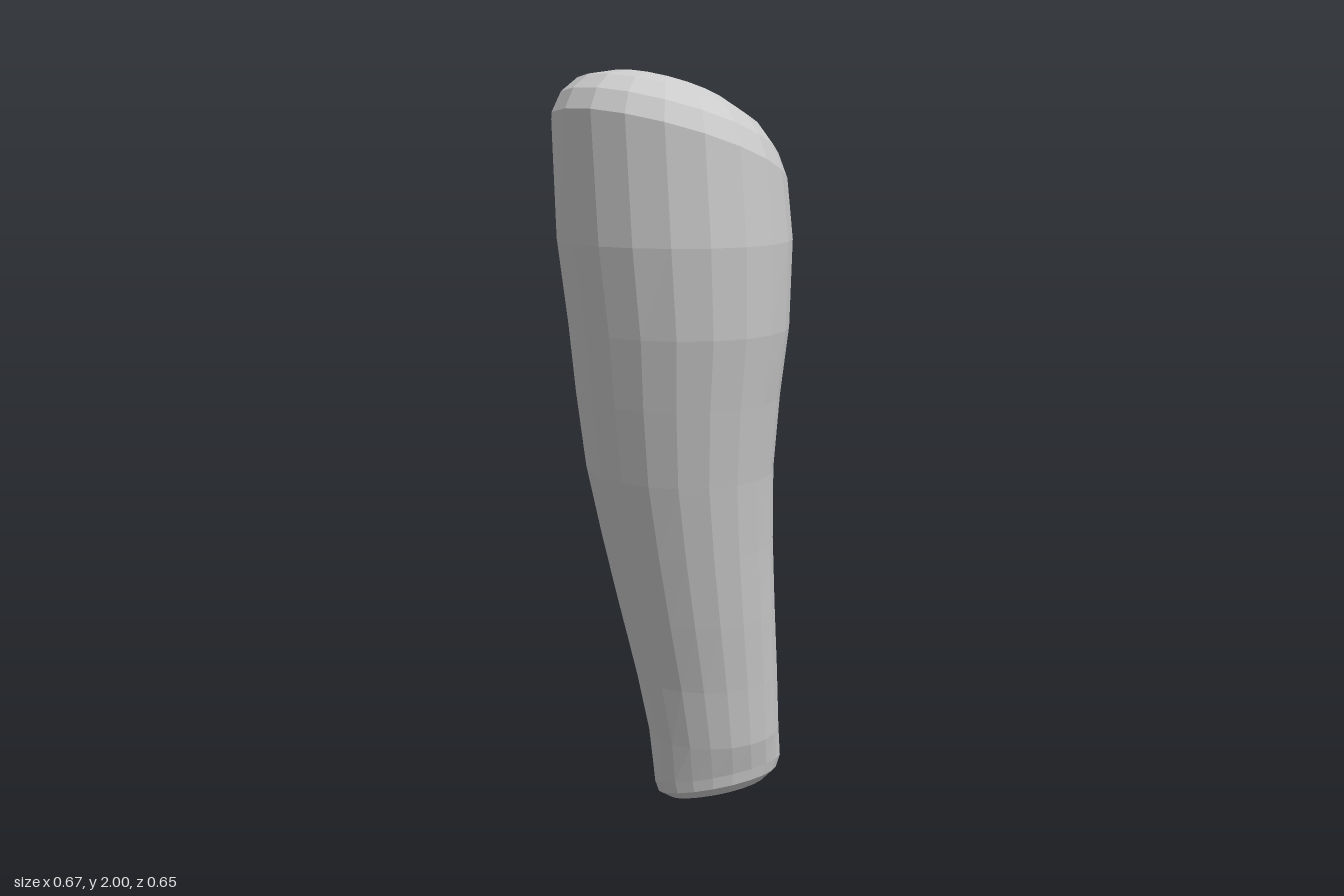
import * as THREE from 'three';

const SIDES = 20;

// Body cross-sections from bottom to top: height, x range, z range
const SECTIONS = [
  [0.22, -0.053, 0.32, -0.305, 0.02],
  [0.4, -0.092, 0.305, -0.312, 0.06],
  [0.6, -0.142, 0.285, -0.32, 0.11],
  [0.8, -0.19, 0.267, -0.325, 0.157],
  [1.0, -0.235, 0.255, -0.32, 0.203],
  [1.2, -0.265, 0.26, -0.312, 0.25],
  [1.38, -0.288, 0.272, -0.3, 0.293],
  [1.6, -0.32, 0.27, -0.285, 0.325],
];
const FOOT = [0, -0.035, 0.335, -0.302, -0.015];
const RIM = [0, -0.335, 0.25, -0.25, 0.33];

// One oval ring, skewed and fuller towards the back left diagonal
function ring([y, x0, x1, z0, z1], scale = 1, skew = 0.03, height = () => y) {
  const points = [];
  for (let j = 0; j < SIDES; j++) {
    const a = (j / SIDES) * Math.PI * 2;
    const c = Math.cos(a), s = Math.sin(a);
    const r = scale * (1 - Math.sin(2 * a) * (skew + 0.018 * (c - s)));
    const x = (x0 + x1) / 2 + ((x1 - x0) / 2) * r * c;
    const z = (z0 + z1) / 2 + ((z1 - z0) / 2) * r * s;
    points.push(new THREE.Vector3(x, height(x, z), z));
  }
  return points;
}

// Skin a stack of rings whose first and last ring close to a point
function loft(rings) {
  const positions = rings.flat().flatMap((p) => [p.x, p.y, p.z]);
  const index = [];
  const last = rings.length - 2;
  for (let i = 0; i <= last; i++) {
    for (let j = 0; j < SIDES; j++) {
      const k = (j + 1) % SIDES;
      const a = i * SIDES + j, b = i * SIDES + k;
      const c = a + SIDES, d = b + SIDES;
      if (i > 0) index.push(a, c, b);
      if (i < last) index.push(b, c, d);
    }
  }
  const geometry = new THREE.BufferGeometry();
  geometry.setAttribute('position', new THREE.Float32BufferAttribute(positions, 3));
  geometry.setIndex(index);
  geometry.computeVertexNormals();
  return geometry;
}

export function createModel() {
  const group = new THREE.Group();
  group.name = 'limbSegment';

  // Tilted, slightly rounded lower end: scale and offset from the tilted plane
  const foot = [[0, -0.062], [0.45, -0.058], [0.75, -0.046], [0.94, -0.02], [1, 0.015]]
    .map(([s, h]) => ring(FOOT, s, 0.03,
      (x, z) => 0.076 + 0.12 * (x - 0.15) + 0.25 * (z + 0.16) + h));

  // Tapering body, skewed a little less around the middle
  const body = SECTIONS.map((s) => ring(s, 1, 0.02 * Math.abs(s[0] - 1)));

  // Slanted domed upper end: scale and offset from the tilted plane
  const dome = [[1, -0.02], [0.92, 0.035], [0.78, 0.08], [0.52, 0.115], [0.25, 0.127], [0, 0.13]]
    .map(([s, h]) => ring(RIM, s, 0.025, (x, z) => 1.82 - 0.3 * x + 0.14 * z + h));

  const mesh = new THREE.Mesh(
    loft([...foot, ...body, ...dome]),
    new THREE.MeshStandardMaterial({ color: 0xcccccc, flatShading: true })
  );
  mesh.name = 'limb';
  group.add(mesh);
  return group;
}
